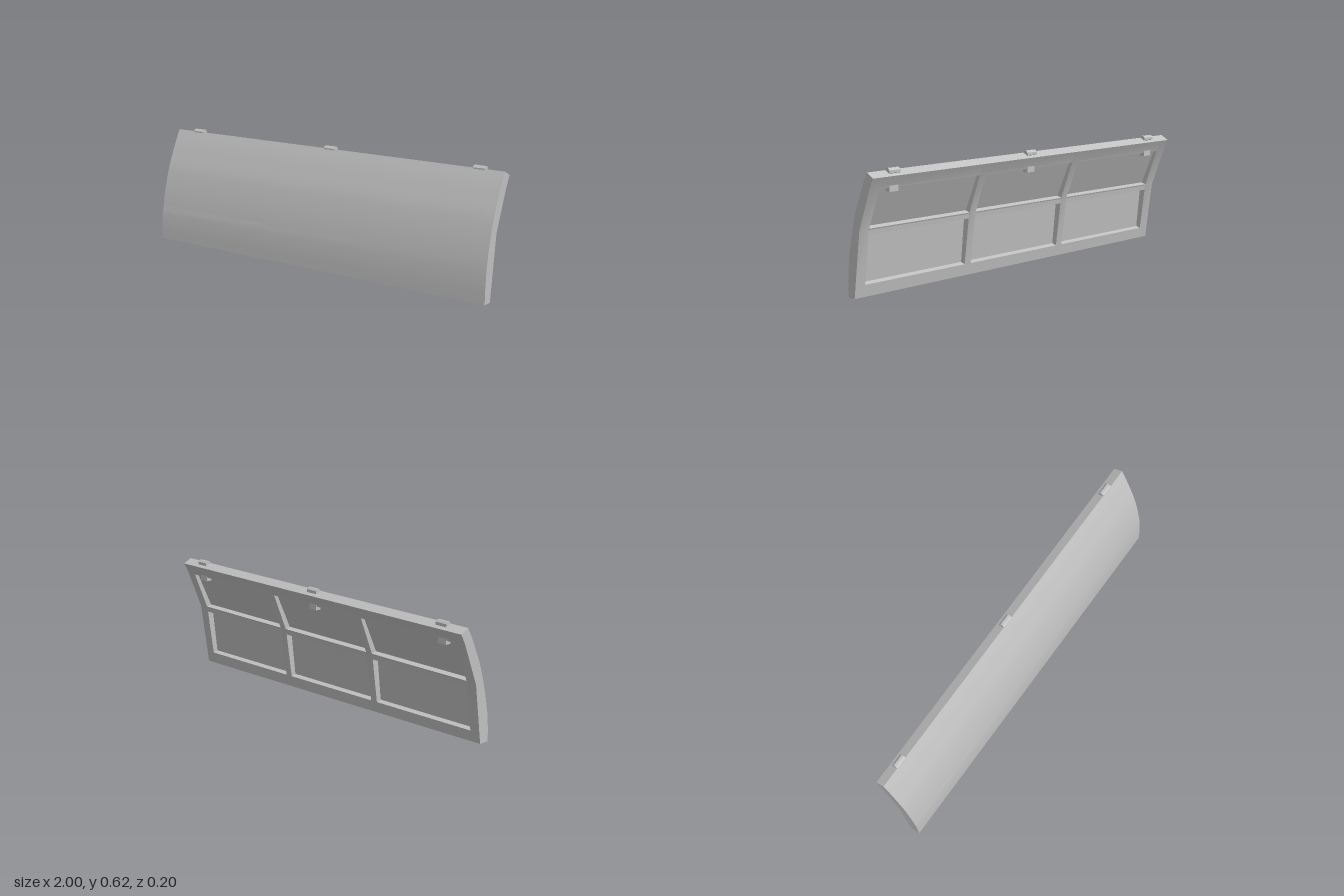
import * as THREE from 'three';
import { toCreasedNormals } from 'three/addons/utils/BufferGeometryUtils.js';

const P = (z, y) => new THREE.Vector2(-z, y);

// Curved outer face, bottom to top
const outer = new THREE.SplineCurve([
  P(0.103, 0), P(0.1, 0.085), P(0.092, 0.17), P(0.079, 0.245), P(0.06, 0.325),
  P(0.034, 0.41), P(0, 0.49), P(-0.028, 0.55), P(-0.057, 0.605),
]).getPoints(32);

// Inner face, top to bottom: plain, and with the two recesses cut in
const top = [P(-0.102, 0.582), P(-0.076, 0.533)];
const solidBack = [...top, P(0.008, 0.325), P(0.054, 0)];
const recessedBack = [
  ...top, P(-0.073, 0.525), P(-0.055, 0.532), P(0.033, 0.34), P(0.005, 0.332),
  P(0.008, 0.325), P(0.0113, 0.302), P(0.045, 0.308), P(0.072, 0.068),
  P(0.0455, 0.06), P(0.054, 0),
];

// Lower edge rises slightly towards the right end
function slantBottom(geo) {
  const p = geo.attributes.position;
  for (let i = 0; i < p.count; i++) {
    const x = p.getX(i), y = p.getY(i), z = p.getZ(i);
    const rise = 0.03 * (1 - x) / 2 * Math.max(0, 1 - y / 0.3);
    p.setY(i, y + rise);
    if (z < 0.09) p.setZ(i, z - rise * 0.15);
  }
  return geo;
}

// Slice of the panel between two x positions
function slice(back, x0, x1) {
  const geo = new THREE.ExtrudeGeometry(new THREE.Shape([...outer, ...back]), {
    depth: x1 - x0, bevelEnabled: false,
  });
  geo.translate(0, 0, x0).rotateY(Math.PI / 2);
  return toCreasedNormals(slantBottom(geo), 0.25);
}

export function createModel() {
  const group = new THREE.Group();
  const grey = new THREE.MeshStandardMaterial({ color: 0xc0c0c0 });
  grey.name = 'grey';
  const add = (name, geo, x = 0, y = 0, z = 0) => {
    const mesh = new THREE.Mesh(geo, grey);
    mesh.name = name;
    mesh.position.set(x, y, z);
    group.add(mesh);
    return mesh;
  };

  // End frames and ribs alternate with recessed bays
  const cuts = [-1, -0.945, -0.335, -0.295, 0.295, 0.335, 0.945, 1];
  for (let i = 0; i < 7; i++) {
    const bay = i % 2 === 1;
    const name = bay ? 'recessedBay' : i === 0 || i === 6 ? 'endFrame' : 'verticalRib';
    add(name, slice(bay ? recessedBack : solidBack, cuts[i], cuts[i + 1]));
  }

  // Hinge knuckles on the top edge, with small hooks below the rim
  const knuckle = toCreasedNormals(
    new THREE.CylinderGeometry(0.017, 0.017, 0.064, 8).rotateY(Math.PI / 8).rotateZ(Math.PI / 2), 0.3);
  const hook = new THREE.BoxGeometry(0.05, 0.03, 0.03);
  for (const x of [-0.862, 0, 0.862]) {
    add('hingeKnuckle', knuckle, x, 0.6, -0.07);
    add('hook', hook, x, 0.521, -0.062);
  }
  return group;
}
